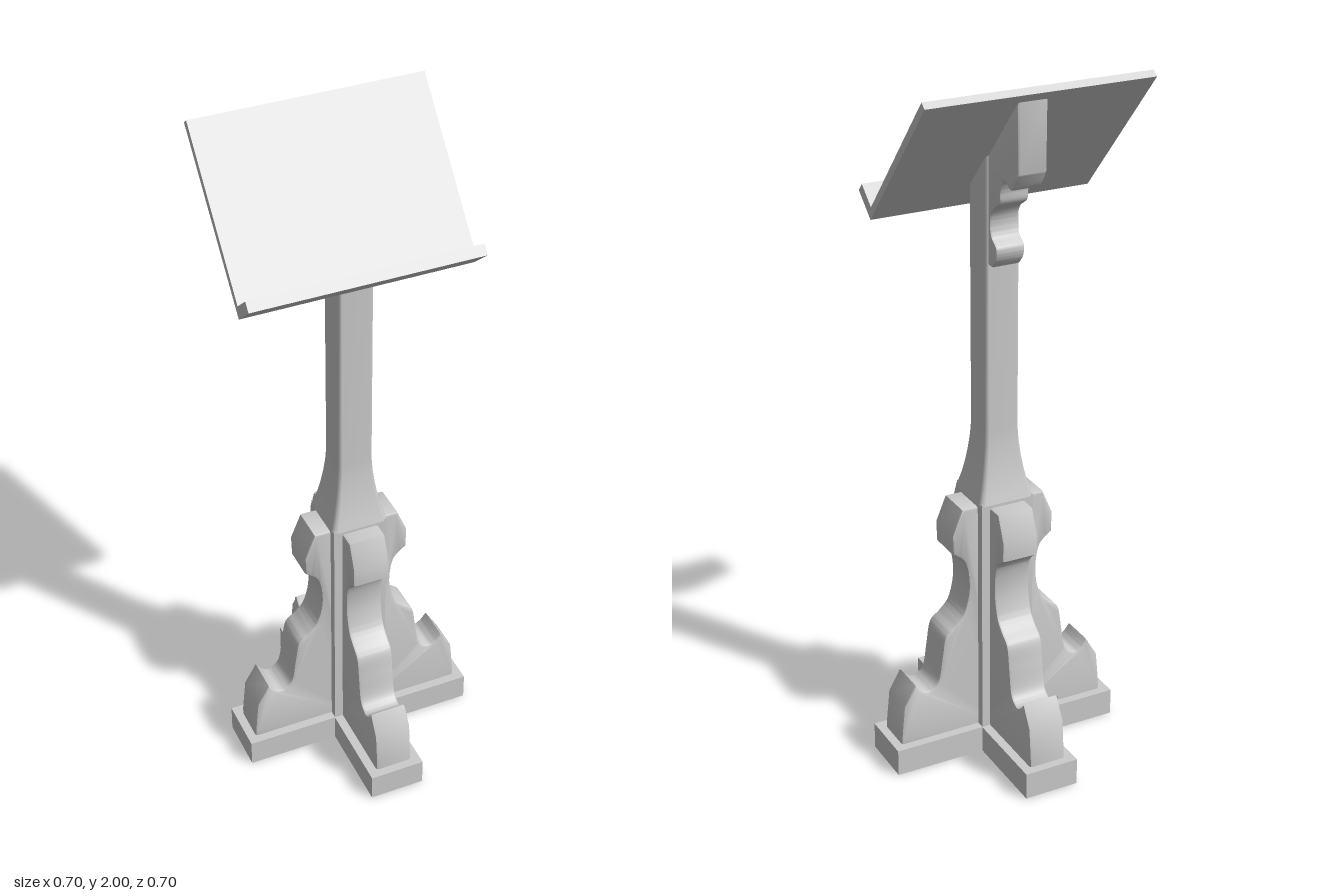
import * as THREE from 'three';
import { toCreasedNormals } from 'three/addons/utils/BufferGeometryUtils.js';

const shapeOf = (pts) => new THREE.Shape(pts.map(([x, y]) => new THREE.Vector2(x, y)));

// Flat profile given thickness, centred on its thickness, with optional rounded edges
function slab(shape, width, bevel = 0) {
  const geo = new THREE.ExtrudeGeometry(shape, {
    depth: width - 2 * bevel, bevelEnabled: bevel > 0, bevelThickness: bevel,
    bevelSize: bevel, bevelOffset: -bevel, bevelSegments: 2, curveSegments: 6,
  });
  geo.translate(0, 0, -(width - 2 * bevel) / 2);
  return bevel > 0 ? toCreasedNormals(geo, 0.6) : geo;
}

// Rounded-square column lofted through [y, halfWidth] rings; the last ring is cut to a slope
function columnGeometry(rings, slope) {
  const corner = 3, n = corner * 4, pos = [], idx = [];
  rings.forEach(([y, h], r) => {
    const rad = h * 0.18;
    for (let c = 0; c < 4; c++) for (let k = 0; k < corner; k++) {
      const a = (c + k / (corner - 1)) * Math.PI / 2;
      const mid = Math.PI / 4 + c * Math.PI / 2;
      const x = Math.sign(Math.cos(mid)) * (h - rad) + Math.cos(a) * rad;
      const z = Math.sign(Math.sin(mid)) * (h - rad) + Math.sin(a) * rad;
      pos.push(x, r === rings.length - 1 ? y - z * slope : y, z);
    }
  });
  for (let r = 0; r < rings.length - 1; r++) for (let i = 0; i < n; i++) {
    const a = r * n + i, b = r * n + (i + 1) % n;
    idx.push(a, a + n, b, b, a + n, b + n);
  }
  const geo = new THREE.BufferGeometry();
  geo.setAttribute('position', new THREE.Float32BufferAttribute(pos, 3));
  geo.setIndex(idx);
  geo.computeVertexNormals();
  return geo;
}

export function createModel() {
  const group = new THREE.Group();
  const grey = new THREE.MeshStandardMaterial({ color: 0xcccccc });
  grey.name = 'light grey';
  const add = (name, geo) => {
    const mesh = new THREE.Mesh(geo, grey);
    mesh.name = name;
    group.add(mesh);
    return mesh;
  };

  // Cross-shaped plinth
  const L = 0.35, W = 0.081;
  const cross = shapeOf([
    [L, -W], [L, W], [W, W], [W, L], [-W, L], [-W, W],
    [-L, W], [-L, -W], [-W, -W], [-W, -L], [W, -L], [W, -W],
  ]);
  const plinth = slab(cross, 0.08);
  plinth.rotateX(-Math.PI / 2).translate(0, 0.04, 0);
  add('plinth', plinth);

  // Square core between the legs
  add('core', new THREE.BoxGeometry(0.16, 0.72, 0.16).translate(0, 0.44, 0));

  // Four scrolled legs
  const leg = shapeOf([[0, 0.05], [0.325, 0.05], [0.325, 0.1], [0.315, 0.2], [0.278, 0.262]]);
  leg.splineThru([[0.258, 0.238], [0.235, 0.23], [0.207, 0.255], [0.194, 0.33], [0.182, 0.395],
    [0.15, 0.425], [0.122, 0.46], [0.107, 0.535], [0.118, 0.615], [0.156, 0.652]]
    .map(([x, y]) => new THREE.Vector2(x, y)));
  leg.lineTo(0.158, 0.71);
  leg.lineTo(0.127, 0.785);
  leg.lineTo(0, 0.785);
  const legGeo = slab(leg, 0.11, 0.008);
  for (let i = 0; i < 4; i++) add('leg', legGeo).rotation.y = i * Math.PI / 2;

  // Column with flared foot, cut to the desk slope
  add('column', columnGeometry([
    [0.795, 0.083], [0.81, 0.079], [0.84, 0.071], [0.88, 0.063], [0.92, 0.057],
    [0.96, 0.0525], [1.0, 0.05], [1.73, 0.05],
  ], 1.135));

  // Sloping desk board with its ledge
  const desk = slab(shapeOf([
    [-0.21, 2.0], [-0.227, 1.986], [0.11, 1.605], [0.18, 1.666], [0.16, 1.689], [0.105, 1.641],
  ]), 0.653);
  desk.rotateY(-Math.PI / 2).translate(-0.02, 0, 0);
  add('deskBoard', desk);

  // Scrolled bracket behind the column
  const bracket = shapeOf([[-0.03, 1.77], [-0.207, 1.966], [-0.207, 1.775]]);
  bracket.splineThru([[-0.172, 1.726], [-0.135, 1.74], [-0.115, 1.71], [-0.108, 1.672], [-0.072, 1.645],
    [-0.056, 1.61], [-0.063, 1.57], [-0.092, 1.543], [-0.087, 1.51], [-0.066, 1.485]]
    .map(([x, y]) => new THREE.Vector2(x, y)));
  bracket.lineTo(-0.03, 1.485);
  const bracketGeo = slab(bracket, 0.085, 0.006);
  bracketGeo.rotateY(-Math.PI / 2);
  add('bracket', bracketGeo);

  return group;
}
